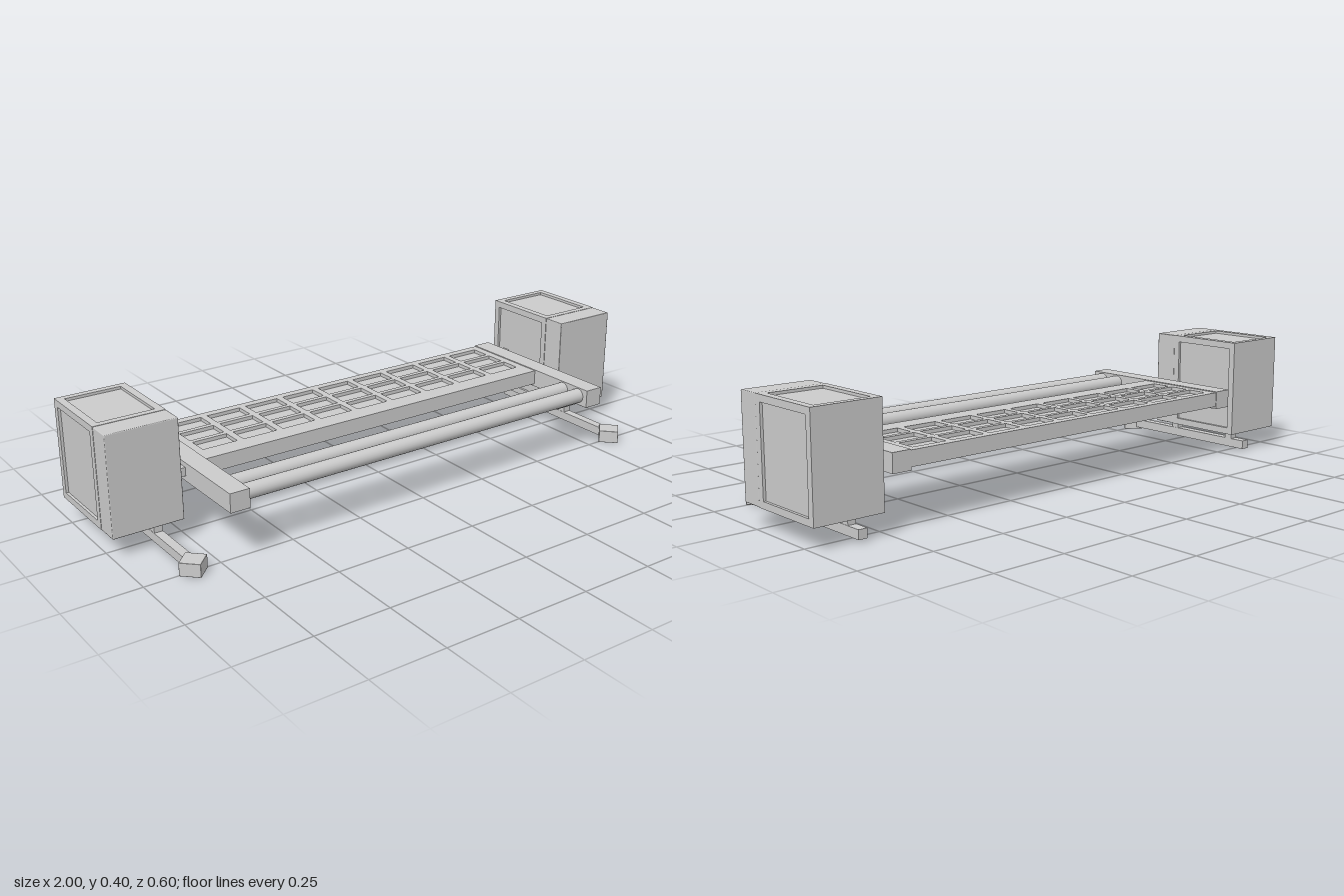
import * as THREE from 'three';
import { RoundedBoxGeometry } from 'three/addons/geometries/RoundedBoxGeometry.js';

const grey = new THREE.MeshStandardMaterial({ color: 0xcccccc });

function add(parent, name, geometry, x = 0, y = 0, z = 0) {
  const mesh = new THREE.Mesh(geometry, grey);
  mesh.name = name;
  mesh.position.set(x, y, z);
  parent.add(mesh);
  return mesh;
}

// Box given by its limits on each axis
function block(parent, name, [x0, x1], [y0, y1], [z0, z1]) {
  return add(parent, name, new THREE.BoxGeometry(x1 - x0, y1 - y0, z1 - z0),
    (x0 + x1) / 2, (y0 + y1) / 2, (z0 + z1) / 2);
}

function rectangle(target, w, h, x = 0, y = 0) {
  return target.moveTo(x - w / 2, y - h / 2).lineTo(x + w / 2, y - h / 2)
    .lineTo(x + w / 2, y + h / 2).lineTo(x - w / 2, y + h / 2).closePath();
}

// Flat plate in the xy plane, centred in depth, with rectangular holes [w, h, x, y]
function plate(w, h, depth, holes) {
  const shape = rectangle(new THREE.Shape(), w, h);
  for (const hole of holes) shape.holes.push(rectangle(new THREE.Path(), ...hole));
  return new THREE.ExtrudeGeometry(shape, { depth, bevelEnabled: false }).translate(0, 0, -depth / 2);
}

// Housing with recessed panels, standing on a rail with a diamond foot
function sideUnit(side) {
  const unit = new THREE.Group();
  unit.name = side > 0 ? 'leftUnit' : 'rightUnit';
  const cx = side * 0.8825, cy = 0.235, cz = -0.16, w = 0.235, h = 0.332, d = 0.28, t = 0.009;

  add(unit, 'housingFront', new RoundedBoxGeometry(w, h, 0.08, 1, 0.003), cx, cy, 0.02);
  add(unit, 'housingCore', new THREE.BoxGeometry(w - 2 * t, h - 2 * t, d), cx, cy, cz);
  for (const s of [-1, 1]) {
    const sideFrame = plate(d, h, t, [[d - 0.045, h - 0.045, 0, 0]]).rotateY(Math.PI / 2);
    add(unit, 'sidePanelFrame', sideFrame, cx + s * (w - t) / 2, cy, cz);
    const capFrame = plate(w - 2 * t, d, t, [[w - 0.05, d - 0.045, 0, 0]]).rotateX(Math.PI / 2);
    add(unit, 'capPanelFrame', capFrame, cx, cy + s * (h - t) / 2, cz);
  }

  const fx = side * 0.842;
  block(unit, 'rail', [fx - 0.015, fx + 0.015], [0.008, 0.038], [-0.302, 0.22]);
  for (const z of [0.021, -0.235]) {
    block(unit, 'post', [fx - 0.014, fx + 0.014], [0.03, 0.085], [z - 0.014, z + 0.014]);
  }
  add(unit, 'foot', new RoundedBoxGeometry(0.067, 0.044, 0.067, 1, 0.002), fx, 0.022, 0.253)
    .rotation.y = Math.PI / 4;

  // Pins joining the housing to the end bar
  for (const z of [0.015, -0.24]) {
    const x = side * 0.753;
    block(unit, 'pin', [x - 0.025, x + 0.025], [0.194, 0.222], [z - 0.014, z + 0.014]);
  }
  return unit;
}

export function createModel() {
  const model = new THREE.Group();
  model.name = 'barbellFrame';

  for (const side of [-1, 1]) {
    model.add(sideUnit(side));
    block(model, 'endBar', [side * 0.704 - 0.033, side * 0.704 + 0.033], [0.176, 0.238], [-0.302, 0.3]);
  }

  // Round cross bars
  for (const z of [0.181, 0.257]) {
    add(model, 'crossBar', new THREE.CylinderGeometry(0.025, 0.025, 1.36, 24).rotateZ(Math.PI / 2), 0, 0.209, z);
  }

  // Waffle deck: lattice layers above and below a solid web
  const deck = new THREE.Group();
  deck.name = 'deck';
  deck.position.set(0, 0.21, -0.1325);
  model.add(deck);
  const pockets = [];
  for (let column = -4; column <= 4; column++) {
    for (let row = -1; row <= 1; row++) {
      pockets.push([0.122, 0.068, column * 0.1455, row * 0.085 + 0.02]);
    }
  }
  const lattice = plate(1.345, 0.335, 0.012, pockets).rotateX(-Math.PI / 2);
  add(deck, 'web', new THREE.BoxGeometry(1.345, 0.026, 0.335));
  for (const s of [-1, 1]) add(deck, 'lattice', lattice, 0, s * 0.019, 0);

  return model;
}
